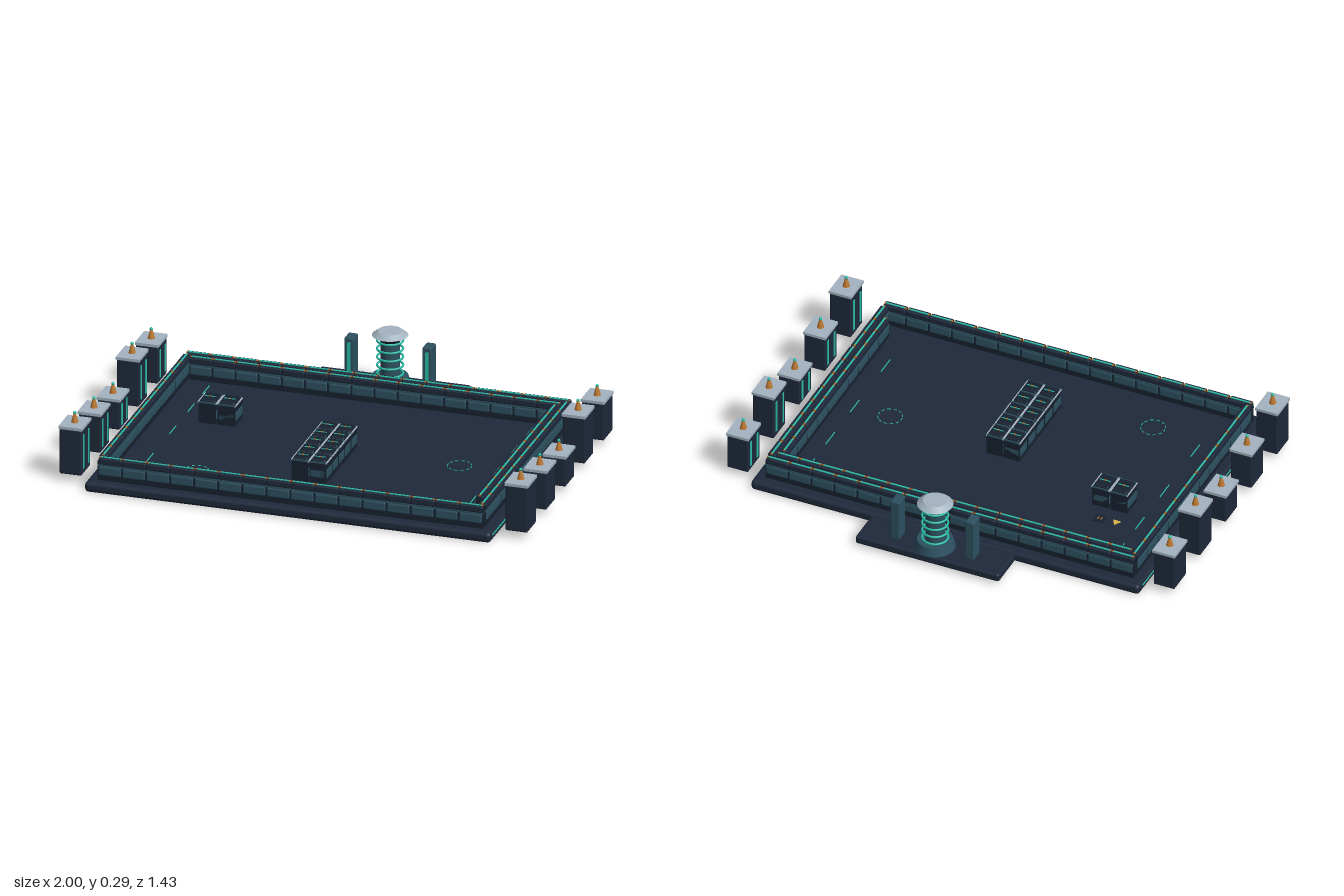
import * as THREE from 'three';
import { RoundedBoxGeometry } from 'three/addons/geometries/RoundedBoxGeometry.js';

const mat = (color) => new THREE.MeshStandardMaterial({ color });
const slate = mat(0x1e293b), dark = mat(0x17212f), steel = mat(0x2c5060), teal = mat(0x2bbfa8);
const pale = mat(0xa3b4c0), copper = mat(0xb9762f), gold = mat(0xd9b64a);

function add(parent, name, geometry, material, x = 0, y = 0, z = 0) {
  const mesh = new THREE.Mesh(geometry, material);
  mesh.name = name;
  mesh.position.set(x, y, z);
  parent.add(mesh);
  return mesh;
}
const box = (w, h, d) => new THREE.BoxGeometry(w, h, d);
const rbox = (w, h, d, r) => new RoundedBoxGeometry(w, h, d, 2, r);
const cyl = (rt, rb, h, n = 24) => new THREE.CylinderGeometry(rt, rb, h, n);

const FLOOR = 0.044;

// One wall block: foot, rounded panel, ledge, upper course, glowing top line with copper studs
function block(parent, x, z, length, depth, turned) {
  const g = new THREE.Group();
  g.name = 'wallBlock';
  g.position.set(x, FLOOR, z);
  if (turned) g.rotation.y = Math.PI / 2;
  const l = length * 0.96;
  add(g, 'blockCore', box(length, 0.085, depth * 0.8), dark, 0, 0.0425, 0);
  add(g, 'blockPanel', rbox(l, 0.042, depth, 0.008), steel, 0, 0.042, 0);
  add(g, 'blockLedge', box(length, 0.007, depth), steel, 0, 0.066, 0);
  add(g, 'blockUpper', rbox(l, 0.026, depth * 0.94, 0.005), slate, 0, 0.083, 0);
  add(g, 'blockLight', box(l * 0.85, 0.004, 0.007), teal, 0, 0.097, 0);
  for (const s of [-1, 1]) add(g, 'blockStud', box(0.006, 0.005, 0.008), copper, s * l * 0.46, 0.0965, 0);
  parent.add(g);
}

// Straight run of blocks between two coordinates
function wallRow(parent, name, from, to, fixed, turned, depth = 0.036) {
  const g = new THREE.Group();
  g.name = name;
  const n = Math.round((to - from) / 0.1), step = (to - from) / n;
  for (let i = 0; i < n; i++) {
    const p = from + (i + 0.5) * step;
    block(g, turned ? fixed : p, turned ? p : fixed, step, depth, turned);
  }
  parent.add(g);
}

// Free-standing cover block with pale side rails
function coverBlock(parent, x, z, w, d) {
  const g = new THREE.Group();
  g.name = 'coverBlock';
  g.position.set(x, FLOOR, z);
  add(g, 'coverCore', box(w * 0.94, 0.085, d * 0.94), dark, 0, 0.0425, 0);
  add(g, 'coverPanel', rbox(w, 0.045, d * 0.94, 0.008), steel, 0, 0.04, 0);
  add(g, 'coverTop', rbox(w * 0.84, 0.03, d * 0.86, 0.008), dark, 0, 0.085, 0);
  for (const s of [-1, 1]) {
    add(g, 'coverRail', box(w, 0.006, 0.005), steel, 0, 0.09, s * (d / 2 - 0.003));
    add(g, 'coverSideRail', box(0.004, 0.006, d), pale, s * (w / 2 - 0.002), 0.09, 0);
  }
  add(g, 'coverLight', box(w * 0.6, 0.003, 0.004), teal, 0, 0.1005, 0);
  add(g, 'coverStud', box(0.008, 0.004, 0.006), copper, 0, 0.101, 0);
  parent.add(g);
}

// Side tower; its lights face the arena
function tower(parent, side, z, top) {
  const g = new THREE.Group();
  g.name = 'sideTower';
  g.position.set(side * 0.95, 0, z);
  const h = top - 0.012 - 0.032;
  add(g, 'towerBody', rbox(0.094, h, 0.116, 0.006), slate, 0, 0.032 + h / 2, 0);
  add(g, 'towerCap', box(0.1, 0.012, 0.124), pale, 0, top - 0.006, 0);
  for (const s of [-1, 1])
    add(g, 'towerLight', box(0.004, h * 0.75, 0.012), teal, -side * 0.048, 0.032 + h / 2, s * 0.032);
  add(g, 'towerSpire', cyl(0.005, 0.015, 0.038, 12), copper, 0, top + 0.019, 0);
  add(g, 'towerBeacon', new THREE.SphereGeometry(0.007, 10, 8), teal, 0, top + 0.041, 0);
  parent.add(g);
}

// Reactor standing on its own plate behind the arena
function reactor(parent) {
  const g = new THREE.Group();
  g.name = 'reactor';
  g.position.set(0, 0, -0.635);
  add(g, 'reactorPlate', rbox(0.64, 0.036, 0.162, 0.01), slate, 0, 0.032, 0);
  add(g, 'reactorFoot', cyl(0.074, 0.084, 0.035, 32), steel, 0, 0.067, 0);
  add(g, 'reactorColumn', cyl(0.04, 0.04, 0.18, 32), steel, 0, 0.17, 0);
  add(g, 'reactorNeck', cyl(0.058, 0.042, 0.024, 32), dark, 0, 0.249, 0);
  add(g, 'reactorCap', cyl(0.05, 0.074, 0.019, 32), pale, 0, 0.27, 0);
  for (let i = 0; i < 5; i++) {
    const ring = add(g, 'reactorRing', new THREE.TorusGeometry(0.053, 0.0045, 8, 36), teal, 0, 0.093 + i * 0.036, 0);
    ring.rotation.x = Math.PI / 2;
  }
  for (const s of [-1, 1]) {
    add(g, 'pylon', rbox(0.04, 0.187, 0.062, 0.005), steel, s * 0.166, 0.142, 0);
    add(g, 'pylonLight', box(0.014, 0.15, 0.004), teal, s * 0.166, 0.142, 0.031);
  }
  parent.add(g);
}

// Dashed circle painted on the floor
function floorRing(parent, x, z) {
  const g = new THREE.Group();
  g.name = 'floorRing';
  g.position.set(x, FLOOR + 0.002, z);
  for (let i = 0; i < 12; i++) {
    const a = (i * Math.PI) / 6;
    const dash = add(g, 'ringDash', box(0.015, 0.002, 0.003), teal, Math.sin(a) * 0.05, 0, Math.cos(a) * 0.05);
    dash.rotation.y = a;
  }
  parent.add(g);
}

export function createModel() {
  const model = new THREE.Group();
  model.name = 'arena';

  // Base slab with light strips along its edges
  add(model, 'baseSlab', rbox(1.73, FLOOR, 1.26, 0.016), slate, 0, FLOOR / 2, 0.085);
  for (const s of [-1, 1])
    add(model, 'baseLight', box(0.004, 0.006, 1.19), teal, s * 0.8645, 0.028, 0.09);

  // Perimeter walls, doubled at the back and on one side
  wallRow(model, 'frontWall', -0.82, 0.82, 0.66, false);
  wallRow(model, 'backWall', -0.82, 0.82, -0.483, false);
  wallRow(model, 'innerBackWall', -0.79, 0.79, -0.442, false);
  for (const s of [-1, 1]) wallRow(model, 'sideWall', -0.465, 0.642, s * 0.808, true);
  wallRow(model, 'innerSideWall', -0.424, 0.57, 0.772, true);

  // Cover blocks inside the arena
  for (let i = 0; i < 5; i++)
    for (const s of [-1, 1]) coverBlock(model, s * 0.038, 0.064 + i * 0.082, 0.076, 0.08);
  for (const x of [-0.579, -0.497]) coverBlock(model, x, 0 - 0.065, 0.08, 0.1);

  // Floor markings
  floorRing(model, -0.47, 0.46);
  floorRing(model, 0.53, 0.085);
  for (const s of [-1, 1])
    for (const z of [-0.345, -0.15, 0.09, 0.39])
      add(model, 'floorDash', box(0.004, 0.002, 0.09), teal, s * 0.69, FLOOR + 0.001, z);
  const marker = add(model, 'floorMarker', cyl(0.02, 0.02, 0.004, 3), gold, -0.6, FLOOR + 0.002, -0.185);
  marker.rotation.y = Math.PI;
  add(model, 'floorHatch', box(0.045, 0.004, 0.04), dark, -0.53, FLOOR + 0.002, -0.19);
  for (const s of [-1, 1])
    add(model, 'hatchMark', box(0.005, 0.003, 0.016), copper, -0.53 + s * 0.007, FLOOR + 0.004, -0.19);

  // Rows of towers on both sides
  const tops = [0.205, 0.242, 0.167, 0.205, 0.242];
  tops.forEach((top, i) => {
    for (const s of [-1, 1]) tower(model, s, -0.427 + i * 0.2505, top);
  });

  reactor(model);
  return model;
}
